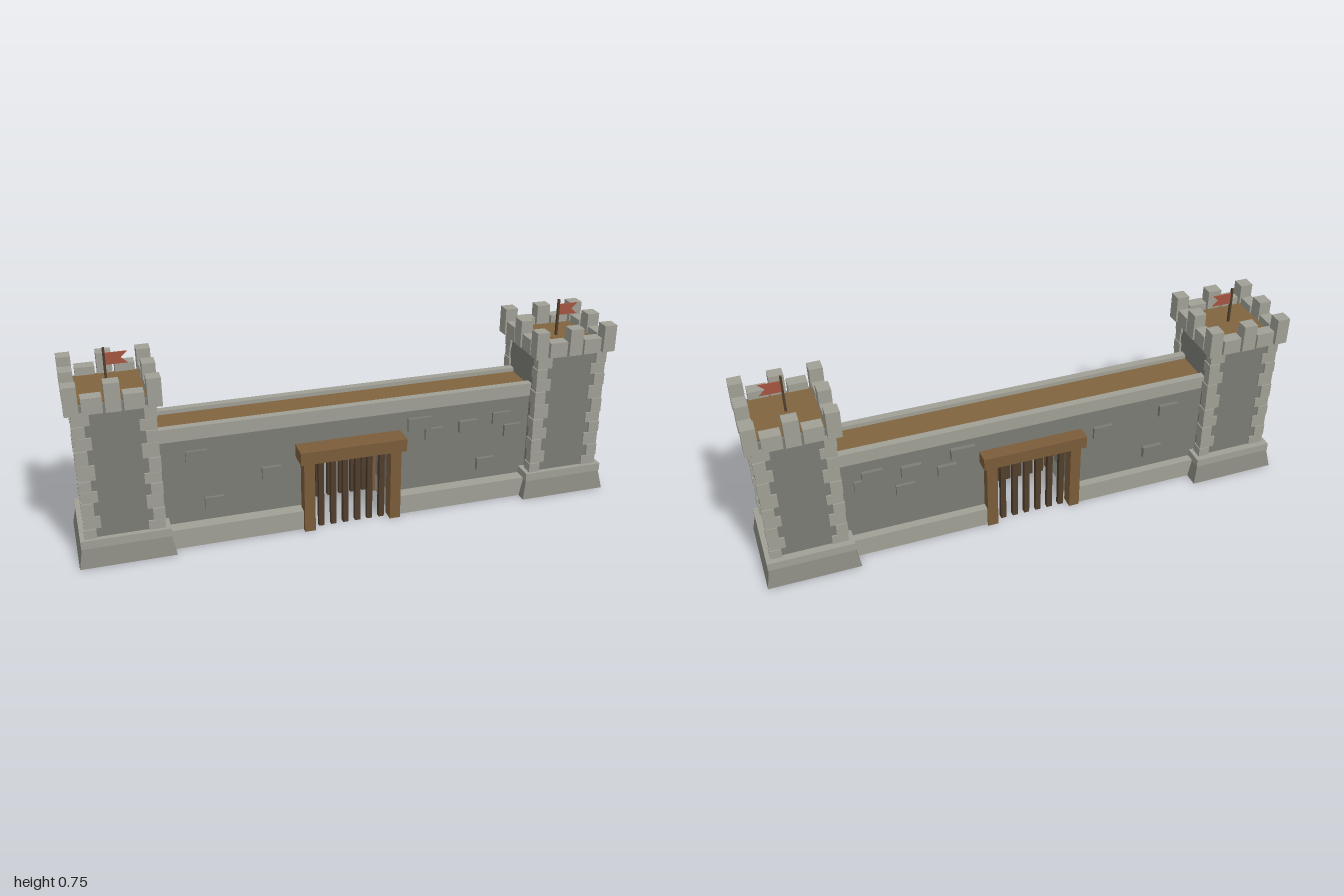
import * as THREE from 'three';

const mat = (color) => new THREE.MeshStandardMaterial({ color, flatShading: true });
const M = {
  stone: mat(0x7b7c74), trim: mat(0xa0a096), plinth: mat(0x8a8a82),
  wood: mat(0x80643f), beam: mat(0x7a5c3a), bar: mat(0x503e2c), flag: mat(0xa55541),
};
M.flag.side = THREE.DoubleSide;

// Box given by its min/max extents on each axis
function block(parent, name, material, [x0, x1], [y0, y1], [z0, z1]) {
  const mesh = new THREE.Mesh(new THREE.BoxGeometry(x1 - x0, y1 - y0, z1 - z0), material);
  mesh.position.set((x0 + x1) / 2, (y0 + y1) / 2, (z0 + z1) / 2);
  mesh.name = name;
  parent.add(mesh);
  return mesh;
}

// Box whose top is narrower than its foot
function taperedBlock(parent, name, material, foot, top, y0, y1) {
  const geo = new THREE.BoxGeometry(foot * 2, y1 - y0, foot * 2);
  const p = geo.attributes.position;
  for (let i = 0; i < p.count; i++) {
    if (p.getY(i) > 0) p.setXYZ(i, p.getX(i) * top / foot, p.getY(i), p.getZ(i) * top / foot);
  }
  geo.computeVertexNormals();
  const mesh = new THREE.Mesh(geo, material);
  mesh.position.y = (y0 + y1) / 2;
  mesh.name = name;
  parent.add(mesh);
}

function createFlag() {
  const flag = new THREE.Group();
  flag.name = 'flag';
  block(flag, 'flagPole', M.bar, [-0.004, 0.004], [0.59, 0.746], [-0.004, 0.004]);
  // Swallow-tailed pennant
  const shape = new THREE.Shape([[0, 0], [0.075, 0], [0.052, 0.021], [0.075, 0.042], [0, 0.042]]
    .map(([x, y]) => new THREE.Vector2(x, y)));
  const cloth = new THREE.Mesh(new THREE.ExtrudeGeometry(shape, { depth: 0.004, bevelEnabled: false }), M.flag);
  cloth.position.set(0.002, 0.685, -0.002);
  cloth.name = 'pennant';
  flag.add(cloth);
  flag.position.set(-0.006, 0, 0.015);
  return flag;
}

function createTower(x) {
  const tower = new THREE.Group();
  tower.name = 'tower';
  tower.position.x = x;
  taperedBlock(tower, 'plinth', M.plinth, 0.168, 0.154, 0.003, 0.075);
  block(tower, 'plinthCap', M.trim, [-0.156, 0.156], [0.075, 0.106], [-0.155, 0.157]);

  // Everything above the plinth sits slightly forward
  const upper = new THREE.Group();
  upper.name = 'towerUpper';
  upper.position.z = 0.006;
  tower.add(upper);
  block(upper, 'shaft', M.stone, [-0.132, 0.132], [0.1, 0.6], [-0.132, 0.132]);
  block(upper, 'deck', M.wood, [-0.118, 0.118], [0.6, 0.606], [-0.118, 0.118]);

  // Corner stones alternating long and short
  const levels = [0.106, 0.143, 0.19, 0.243, 0.287, 0.328, 0.385, 0.44, 0.487, 0.53, 0.578];
  for (const sx of [-1, 1]) for (const sz of [-1, 1]) {
    for (let i = 0; i < levels.length - 1; i++) {
      const odd = (i + (sx * sz > 0 ? 1 : 0)) % 2;
      const out = odd ? 0.138 : 0.14;
      const lx = odd ? 0.058 : 0.042, lz = odd ? 0.034 : 0.044;
      const h = levels[i + 1] - levels[i] - 0.002;
      const q = block(upper, 'cornerStone', M.trim, [-lx / 2, lx / 2], [0, h], [-lz / 2, lz / 2]);
      q.position.set(sx * (out - lx / 2), levels[i] + h / 2, sz * (out - lz / 2));
    }
  }

  // Battlements: tall corners and middles, low stones between them
  for (const sx of [-1, 1]) for (const sz of [-1, 1]) {
    const m = block(upper, 'cornerMerlon', M.trim, [-0.024, 0.024], [0.578, 0.68], [-0.024, 0.024]);
    m.position.x = sx * 0.135;
    m.position.z = sz * 0.135;
  }
  for (let k = 0; k < 4; k++) {
    const side = new THREE.Group();
    side.name = 'battlementSide';
    side.rotation.y = k * Math.PI / 2;
    block(side, 'middleMerlon', M.trim, [-0.026, 0.026], [0.578, 0.68], [0.113, 0.159]);
    for (const s of [-1, 1]) {
      const low = block(side, 'lowMerlon', M.trim, [-0.034, 0.034], [0.578, 0.635], [0.112, 0.157]);
      low.position.x = s * 0.068;
    }
    upper.add(side);
  }
  tower.add(createFlag());
  return tower;
}

function createWall() {
  const wall = new THREE.Group();
  wall.name = 'wall';
  // Two wall halves either side of the gateway
  for (const span of [[-0.72, -0.17], [0.145, 0.72]]) {
    block(wall, 'wallBase', M.trim, span, [0.003, 0.078], [-0.112, 0.13]);
    block(wall, 'wallBody', M.stone, span, [0.078, 0.41], [-0.081, 0.083]);
  }
  block(wall, 'wallOverGate', M.stone, [-0.17, 0.145], [0.29, 0.41], [-0.081, 0.083]);
  for (const s of [-1, 1]) {
    const cap = block(wall, 'parapet', M.trim, [-0.71, 0.71], [0.405, 0.455], [-0.014, 0.014]);
    cap.position.z = s * 0.078;
  }
  block(wall, 'walkway', M.wood, [-0.71, 0.71], [0.405, 0.44], [-0.064, 0.064]);

  // Raised stones: centre x, centre y, width, height
  const front = [[-0.565, 0.337, 0.075, 0.045], [-0.51, 0.147, 0.07, 0.045], [-0.3, 0.235, 0.07, 0.045],
    [0.26, 0.347, 0.09, 0.05], [0.318, 0.3, 0.07, 0.045], [0.452, 0.313, 0.072, 0.045],
    [0.588, 0.327, 0.072, 0.046], [0.635, 0.272, 0.068, 0.046], [0.53, 0.145, 0.07, 0.048]];
  const back = [[0.612, 0.3, 0.07, 0.045], [0.58, 0.335, 0.075, 0.045], [0.44, 0.322, 0.075, 0.045],
    [0.465, 0.242, 0.07, 0.045], [0.31, 0.286, 0.07, 0.045], [0.25, 0.35, 0.09, 0.045],
    [-0.295, 0.3, 0.075, 0.048], [-0.56, 0.337, 0.075, 0.045], [-0.505, 0.156, 0.075, 0.045]];
  [[front, 1], [back, -1]].forEach(([stones, s]) => stones.forEach(([x, y, w, h], i) => {
    const stone = block(wall, 'raisedStone', M.stone, [x - w / 2, x + w / 2], [y - h / 2, y + h / 2], [-0.012, 0.012]);
    stone.position.z = s * (0.081 + (i % 3) * 0.002);
  }));
  return wall;
}

function createGate() {
  const gate = new THREE.Group();
  gate.name = 'gate';
  gate.position.set(-0.012, 0, 0.014);
  // The same timber frame and bars on the front and back
  for (const s of [-1, 1]) {
    const face = new THREE.Group();
    face.name = s > 0 ? 'frontGate' : 'backGate';
    const z = (a, b) => (s > 0 ? [a, b] : [-b, -a]);
    block(face, 'lintel', M.beam, [-0.198, 0.198], [0.282, 0.33], z(0.07, 0.149));
    for (const sx of [-1, 1]) {
      const post = block(face, 'post', M.beam, [-0.02, 0.02], [0, 0.29], z(0.084, 0.133));
      post.position.x = sx * 0.163;
    }
    for (let i = 0; i < 6; i++) {
      const x = (i - 2.5) * 0.046;
      block(face, 'gateBar', M.bar, [x - 0.01, x + 0.01], [0.005, 0.29], z(0.095, 0.115));
    }
    gate.add(face);
  }
  return gate;
}

export function createModel() {
  const model = new THREE.Group();
  model.name = 'castleWall';
  model.add(createTower(-0.832), createTower(0.832), createWall(), createGate());
  return model;
}
